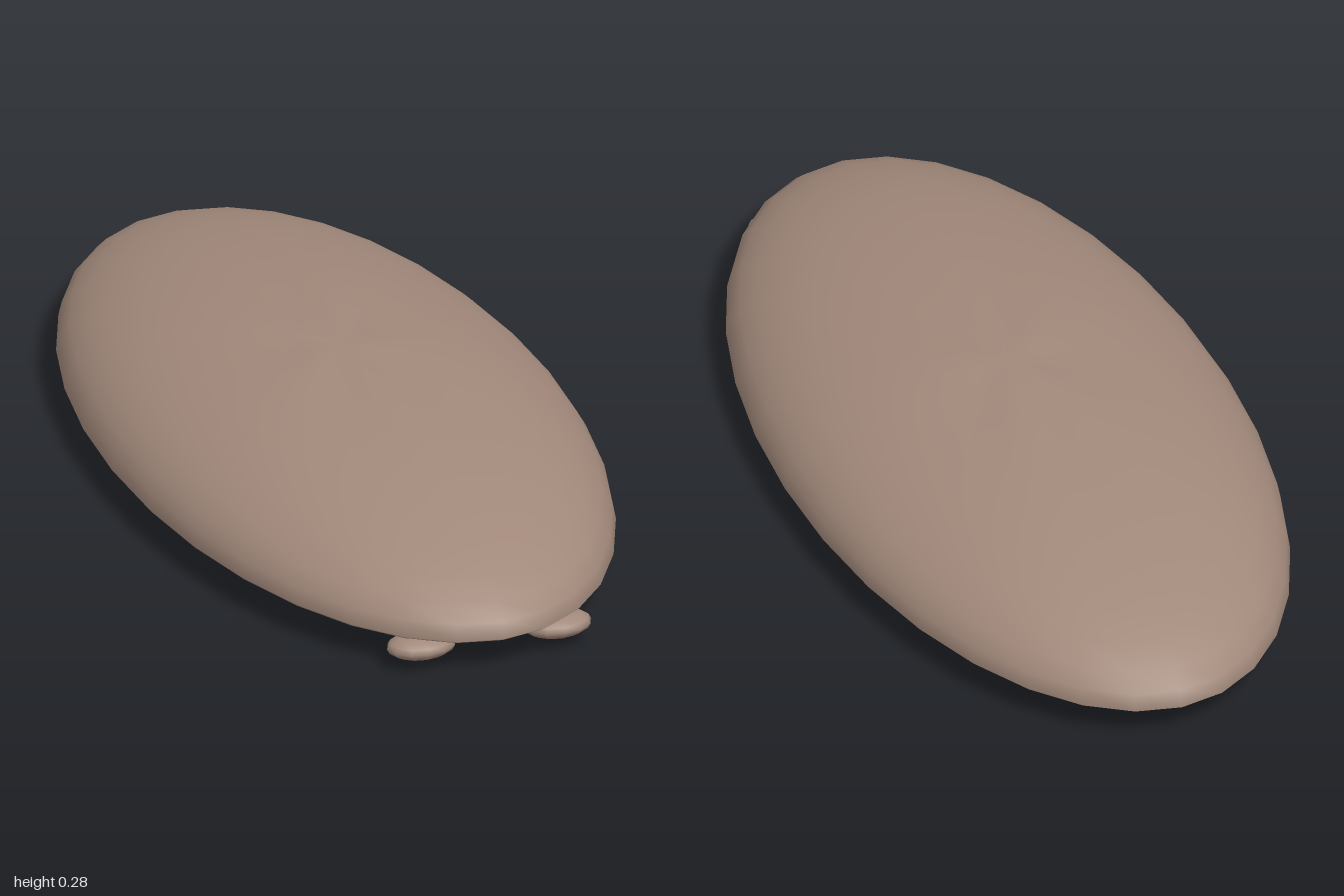
import * as THREE from 'three';
import { mergeVertices } from 'three/addons/utils/BufferGeometryUtils.js';

const skin = new THREE.MeshStandardMaterial({ color: 0xa1887a });
skin.name = 'brownSkin';
const dark = new THREE.MeshStandardMaterial({ color: 0x54363a });
dark.name = 'darkMouth';

// Smooth ellipsoid from a unit sphere
function ellipsoid(name, material, radii, position, w, h) {
  const mesh = new THREE.Mesh(new THREE.SphereGeometry(1, w, h), material);
  mesh.name = name;
  mesh.scale.set(...radii);
  mesh.position.set(...position);
  return mesh;
}

// Long oval shell: tall dome above the rim, shallow belly below it
function bodyGeometry() {
  let geo = new THREE.SphereGeometry(1, 32, 20);
  geo.deleteAttribute('uv');
  geo.deleteAttribute('normal');
  geo = mergeVertices(geo, 1e-4);
  const p = geo.attributes.position;
  for (let i = 0; i < p.count; i++) {
    const x = p.getX(i), y = p.getY(i), z = p.getZ(i);
    const r = Math.hypot(x, z), a = Math.atan2(z, x);
    let h = 0.078 + y * (y > 0 ? 0.207 : 0.05);
    // faint radial folds fading out towards the rim
    if (y > 0.05 && r > 0.01) h += 0.003 * (Math.sin(5 * a + 0.6) - 0.6) * (1 - r);
    p.setXYZ(i, x * 0.482, h, z);
  }
  geo.computeVertexNormals();
  return geo;
}

export function createModel() {
  const model = new THREE.Group();
  model.name = 'flatOvalCreature';

  const body = new THREE.Mesh(bodyGeometry(), skin);
  body.name = 'body';
  model.add(body);

  // Pair of lobes under the front edge
  for (const side of [-1, 1]) {
    const lobe = ellipsoid(side > 0 ? 'leftLobe' : 'rightLobe', skin,
      [0.073, 0.026, 0.051], [side * 0.146, 0.048, 0.908], 12, 8);
    model.add(lobe);
  }

  // Mouth on the underside
  model.add(ellipsoid('mouth', dark, [0.1, 0.028, 0.062], [0, 0.031, 0.808], 16, 10));
  return model;
}
